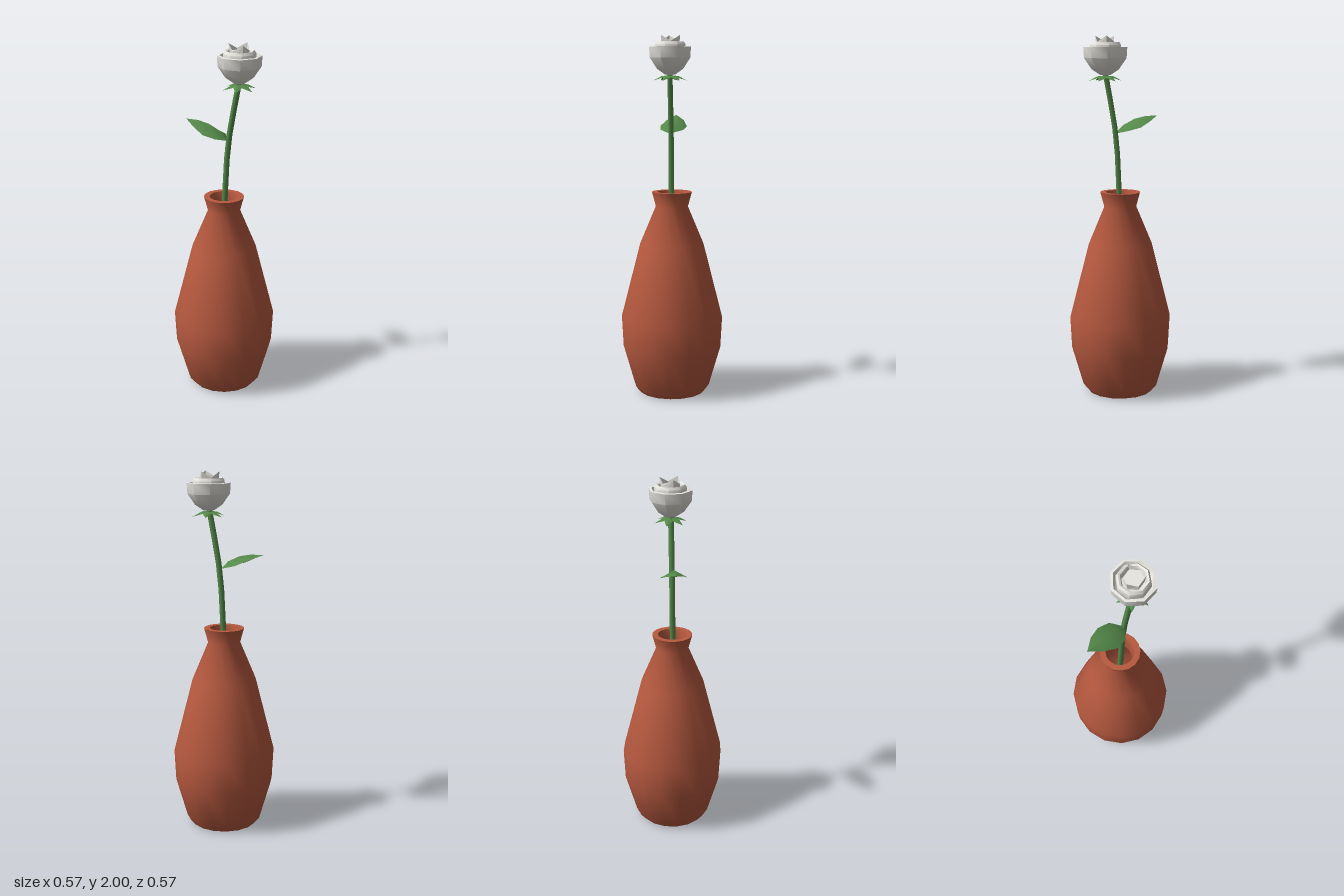
import * as THREE from 'three';
import { toCreasedNormals } from 'three/addons/utils/BufferGeometryUtils.js';

const DS = THREE.DoubleSide;
const clay = new THREE.MeshStandardMaterial({ color: 0xb85a40 });
const green = new THREE.MeshStandardMaterial({ color: 0x558a4a, side: DS });
const white = new THREE.MeshStandardMaterial({ color: 0xe8e6e0, side: DS });

function add(parent, name, geometry, material) {
  const mesh = new THREE.Mesh(geometry, material);
  mesh.name = name;
  parent.add(mesh);
  return mesh;
}

function lathe(profile, sides, crease = 0.8) {
  const points = profile.map(([r, y]) => new THREE.Vector2(r, y));
  return toCreasedNormals(new THREE.LatheGeometry(points, sides), crease);
}

// Folded blade: stations of [x, y, z, halfWidth, edgeDrop] along a raised midrib.
function blade(stations) {
  const a = stations[0], b = stations[stations.length - 1];
  const side = new THREE.Vector2(b[2] - a[2], a[0] - b[0]).normalize();
  const pos = [], index = [];
  stations.forEach(([x, y, z, w, drop], i) => {
    for (const s of [-1, 0, 1]) pos.push(x + s * w * side.x, y - Math.abs(s) * drop, z + s * w * side.y);
    if (i === 0) return;
    for (let j = 0; j < 2; j++) {
      const p = (i - 1) * 3 + j, q = p + 3;
      index.push(p, p + 1, q, p + 1, q + 1, q);
    }
  });
  const g = new THREE.BufferGeometry();
  g.setAttribute('position', new THREE.Float32BufferAttribute(pos, 3));
  g.setIndex(index);
  g.computeVertexNormals();
  return g;
}

// Pointed crown of petals flaring out of a closed polygonal heart.
function crown(sides, rBase, yBase, rTip, yTip, yGap) {
  const pos = [];
  const at = (i, r, y) => {
    const t = (i / sides) * Math.PI * 2;
    return [Math.sin(t) * r, y, Math.cos(t) * r];
  };
  for (let i = 0; i < sides; i++) {
    const top = k => (k % 2 ? at(k, rTip, yTip) : at(k, rBase, yGap));
    const a = at(i, rBase, yBase), b = at(i + 1, rBase, yBase);
    pos.push(...a, ...b, ...top(i + 1), ...a, ...top(i + 1), ...top(i));
    pos.push(0, yBase + 0.03, 0, ...at(i, rBase, yBase + 0.03), ...at(i + 1, rBase, yBase + 0.03));
  }
  const g = new THREE.BufferGeometry();
  g.setAttribute('position', new THREE.Float32BufferAttribute(pos, 3));
  g.computeVertexNormals();
  return g;
}

export function createModel() {
  const model = new THREE.Group();
  model.name = 'flowerInVase';

  // Hollow vase, outside wall then lip and inside wall
  add(model, 'vase', lathe([
    [0, 0], [0.182, 0], [0.212, 0.035], [0.276, 0.255], [0.285, 0.43], [0.178, 0.85],
    [0.09, 1.06], [0.112, 1.142], [0.08, 1.142], [0.064, 1.06], [0.15, 0.84],
    [0.255, 0.43], [0.245, 0.26], [0.18, 0.05], [0, 0.05],
  ], 16), clay);

  // Bent stem reaching down into the vase
  const stemPath = new THREE.CatmullRomCurve3([
    [-0.02, 0.3, 0.01], [0.007, 1.14, 0], [0.026, 1.46, -0.008], [0.085, 1.8, -0.028],
  ].map(p => new THREE.Vector3(...p)));
  add(model, 'stem', new THREE.TubeGeometry(stemPath, 10, 0.016, 6), green);

  // Single leaf
  add(model, 'leaf', blade([
    [0.022, 1.47, 0, 0.012, 0], [-0.02, 1.515, 0.01, 0.064, 0.03],
    [-0.085, 1.547, 0.03, 0.075, 0.045], [-0.15, 1.56, 0.05, 0.05, 0.028],
    [-0.216, 1.56, 0.075, 0, 0],
  ]), green);

  // Flower head, built around its own axis
  const flower = new THREE.Group();
  flower.name = 'flower';
  flower.position.set(0.085, 0, -0.03);
  model.add(flower);

  for (let i = 0; i < 6; i++) {
    const sepal = add(flower, 'sepal', blade([
      [0, 1.785, 0, 0.012, 0.003], [0.045, 1.782, 0, 0.022, 0.01], [0.092, 1.757, 0, 0, 0],
    ]), green);
    sepal.rotation.y = (i / 6) * Math.PI * 2;
  }

  add(flower, 'outerPetals', lathe([
    [0, 1.785], [0.03, 1.79], [0.075, 1.82], [0.116, 1.88], [0.12, 1.938],
    [0.106, 1.94], [0.096, 1.9], [0.05, 1.87],
  ], 8), white);
  add(flower, 'middlePetals', lathe([
    [0.06, 1.87], [0.09, 1.91], [0.088, 1.95], [0.078, 1.965], [0.068, 1.96], [0.06, 1.92], [0, 1.91],
  ], 8), white).rotation.y = 0.12;
  add(flower, 'innerPetals', crown(6, 0.052, 1.93, 0.06, 2, 1.968), white);

  return model;
}
